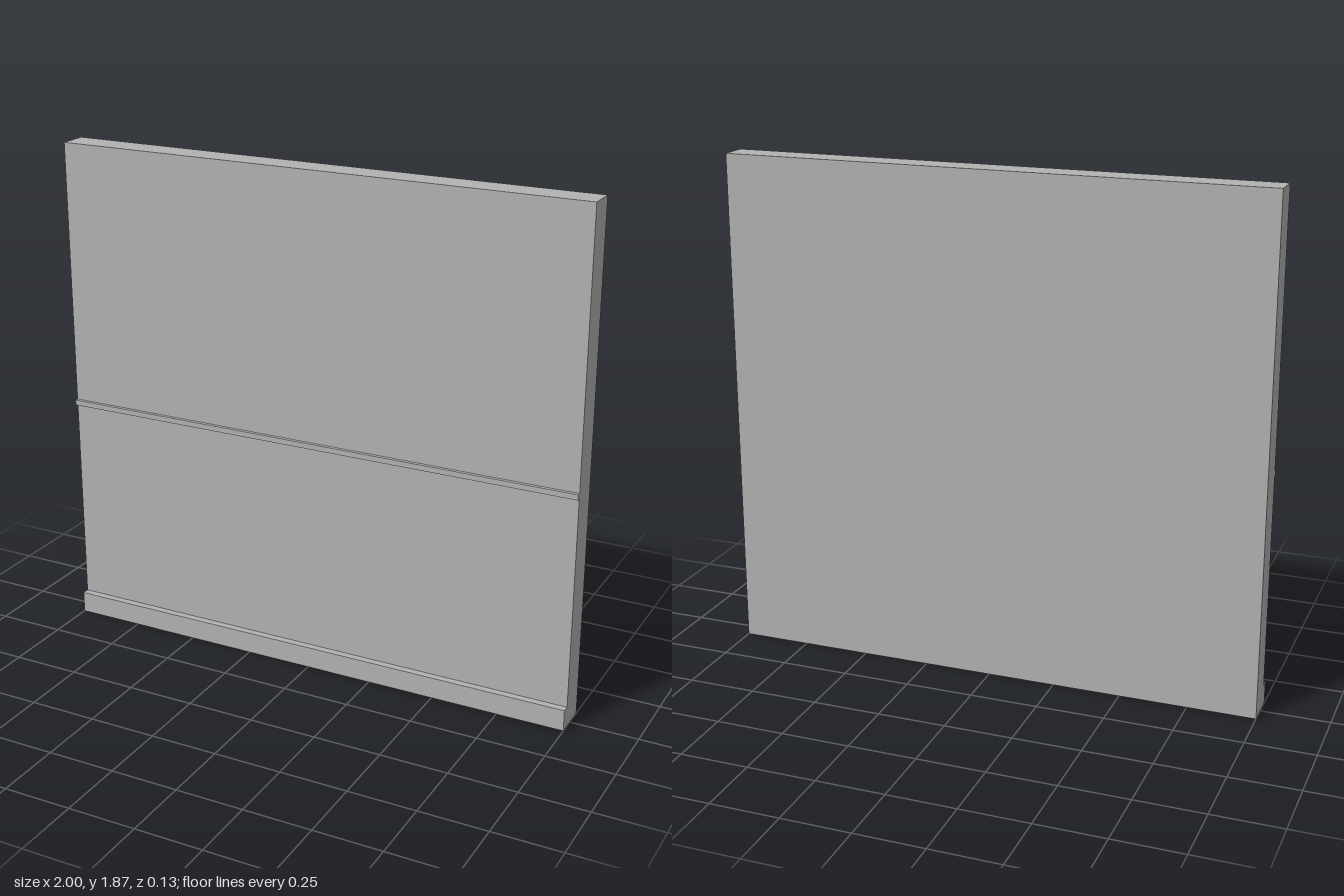
import * as THREE from 'three';

const WIDTH = 2;
const BACK = -0.067;
const FACE = 0.04;

export function createModel() {
  const group = new THREE.Group();
  group.name = 'wallPanel';
  const plaster = new THREE.MeshStandardMaterial({ color: 0xb2b2b2 });
  plaster.name = 'plaster grey';

  // Full-width slab between two heights and two depths
  function addSlab(name, y0, y1, z0, z1) {
    const mesh = new THREE.Mesh(new THREE.BoxGeometry(WIDTH, y1 - y0, z1 - z0), plaster);
    mesh.position.set(0, (y0 + y1) / 2, (z0 + z1) / 2);
    mesh.name = name;
    group.add(mesh);
  }

  addSlab('wall', 0, 1.867, BACK, FACE);
  addSlab('baseboard', 0, 0.08, FACE, 0.067);
  addSlab('chairRail', 0.865, 0.885, FACE, 0.053);

  return group;
}
